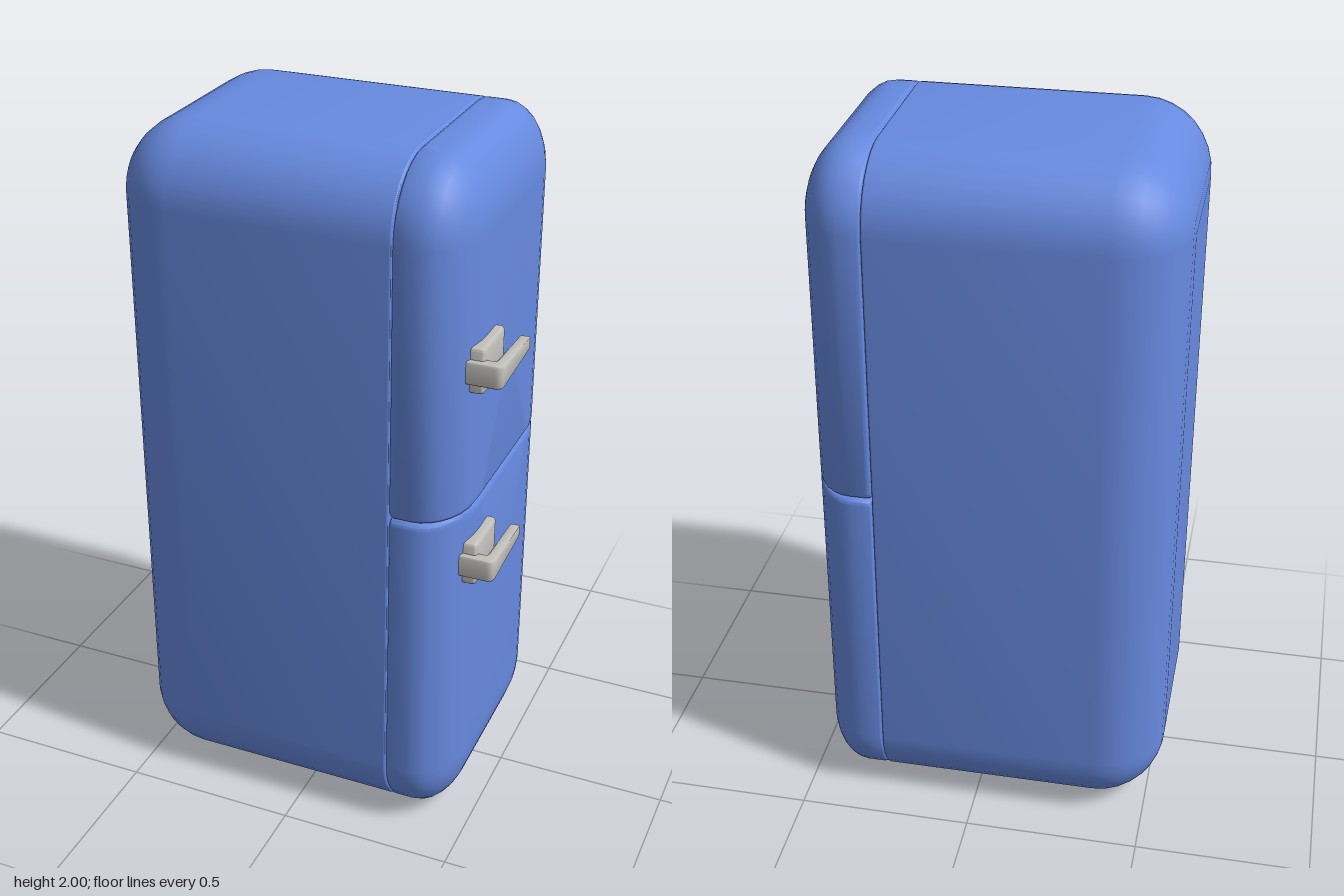
import * as THREE from 'three';
import { toCreasedNormals } from 'three/addons/utils/BufferGeometryUtils.js';

const STEPS = 8;
const CORNER = 0.2, SEAM = 0.02, HALF_DEPTH = 0.402;

// One rounded rectangle in the y-z plane, counter-clockwise seen from +x
function ring(x, y0, y1, zh, rBottom, rTop) {
  const pts = [];
  const corners = [[1, 1], [-1, 1], [-1, -1], [1, -1]];
  corners.forEach(([su, sy], q) => {
    const r = sy > 0 ? rTop : rBottom;
    const cy = sy > 0 ? y1 - r : y0 + r;
    for (let i = 0; i <= STEPS; i++) {
      const a = (q + i / STEPS) * Math.PI / 2;
      pts.push([x, cy + r * Math.sin(a), -(su * (zh - r) + r * Math.cos(a))]);
    }
  });
  return pts;
}

// Skins a list of rings ordered by x and closes both ends
function loft(rings) {
  const n = rings[0].length, last = rings.length - 1;
  const pos = rings.flat(2), index = [];
  const addCentre = (r) => {
    const ys = r.map((p) => p[1]);
    pos.push(r[0][0], (Math.min(...ys) + Math.max(...ys)) / 2, 0);
    return pos.length / 3 - 1;
  };
  const c0 = addCentre(rings[0]), c1 = addCentre(rings[last]);
  for (let j = 0; j < n; j++) {
    const k = (j + 1) % n;
    for (let i = 0; i < last; i++) {
      const a = i * n + j, b = i * n + k;
      index.push(a, b, b + n, a, b + n, a + n);
    }
    index.push(c0, k, j, c1, last * n + j, last * n + k);
  }
  const g = new THREE.BufferGeometry();
  g.setAttribute('position', new THREE.Float32BufferAttribute(pos, 3));
  g.setIndex(index);
  return toCreasedNormals(g, 0.7);
}

// Profile along x: [x, inset], rounded at both ends
function profile(x0, w0, d0, x1, w1, d1) {
  const out = [];
  for (let i = STEPS; i >= 0; i--) {
    const a = (i / STEPS) * Math.PI / 2;
    out.push([x0 + w0 * (1 - Math.sin(a)), d0 * (1 - Math.cos(a))]);
  }
  for (let i = 0; i <= STEPS; i++) {
    const a = (i / STEPS) * Math.PI / 2;
    out.push([x1 - w1 * (1 - Math.sin(a)), d1 * (1 - Math.cos(a))]);
  }
  return out;
}

const innerRadius = (d) => Math.max(CORNER - d, 0.002);

function cabinetGeometry() {
  return loft(profile(-0.543, 0.195, CORNER, 0.275, 0.006, 0.006).map(([x, d]) =>
    ring(x, d, 2 - d, HALF_DEPTH - d, innerRadius(d), innerRadius(d))));
}

// Door with big outer corners and a tight rounded edge along the seam
function doorGeometry(y0, y1, seamAtTop) {
  const front = 0.463;
  return loft(profile(0.275, 0.015, 0.012, front, 0.125, CORNER).map(([x, d]) => {
    const t = Math.max(0, (x - (front - SEAM)) / SEAM);
    const e = x < 0.3 ? d : SEAM * (1 - Math.sqrt(Math.max(0, 1 - t * t)));
    const r = innerRadius(d);
    return seamAtTop
      ? ring(x, y0 + d, y1 - e, HALF_DEPTH - d, r, SEAM)
      : ring(x, y0 + e, y1 - d, HALF_DEPTH - d, SEAM, r);
  }));
}

// Extruded plan outline (x, z) with a small bevel, centred on y = 0
function bevelled(shape, height, bevel) {
  const g = new THREE.ExtrudeGeometry(shape, {
    depth: height - 2 * bevel, bevelThickness: bevel, bevelSize: bevel,
    bevelOffset: -bevel, bevelSegments: 3, curveSegments: 5,
  });
  g.translate(0, 0, -(height - 2 * bevel) / 2);
  g.rotateX(Math.PI / 2);
  return g;
}

// L-shaped lever that gets slimmer towards its free end
function leverGeometry() {
  const s = new THREE.Shape();
  s.moveTo(0.43, 0.27);
  s.lineTo(0.502, 0.27);
  s.quadraticCurveTo(0.512, 0.27, 0.512, 0.26);
  s.lineTo(0.512, 0.075);
  s.quadraticCurveTo(0.512, 0.068, 0.519, 0.068);
  s.lineTo(0.533, 0.068);
  s.quadraticCurveTo(0.54, 0.068, 0.54, 0.075);
  s.lineTo(0.542, 0.285);
  s.quadraticCurveTo(0.542, 0.307, 0.52, 0.307);
  s.lineTo(0.43, 0.307);
  s.closePath();
  const g = bevelled(s, 0.066, 0.006);
  const p = g.attributes.position;
  for (let i = 0; i < p.count; i++) {
    const t = THREE.MathUtils.clamp((0.307 - p.getZ(i)) / 0.239, 0, 1);
    p.setY(i, p.getY(i) * (1 - 0.47 * t));
  }
  return toCreasedNormals(g, 0.7);
}

// Mounting plate behind the lever
function plateGeometry() {
  const s = new THREE.Shape();
  s.moveTo(0.42, 0.125);
  s.lineTo(0.474, 0.125);
  s.quadraticCurveTo(0.488, 0.125, 0.488, 0.139);
  s.lineTo(0.488, 0.276);
  s.quadraticCurveTo(0.488, 0.29, 0.474, 0.29);
  s.lineTo(0.42, 0.29);
  s.closePath();
  return toCreasedNormals(bevelled(s, 0.13, 0.01), 0.7);
}

export function createModel() {
  const enamel = new THREE.MeshStandardMaterial({ color: 0x678ae0 });
  enamel.name = 'blueEnamel';
  const metal = new THREE.MeshStandardMaterial({ color: 0xc2c0bb });
  metal.name = 'greyMetal';

  const model = new THREE.Group();
  model.name = 'refrigerator';
  const add = (parent, name, geometry, material) => {
    const mesh = new THREE.Mesh(geometry, material);
    mesh.name = name;
    parent.add(mesh);
    return mesh;
  };

  add(model, 'cabinet', cabinetGeometry(), enamel);
  add(model, 'upperDoor', doorGeometry(1.03, 2, false), enamel);
  add(model, 'lowerDoor', doorGeometry(0, 1.03, true), enamel);

  // One handle per door
  const lever = leverGeometry(), plate = plateGeometry();
  for (const [name, y] of [['upperHandle', 1.452], ['lowerHandle', 0.872]]) {
    const handle = new THREE.Group();
    handle.name = name;
    handle.position.y = y;
    add(handle, 'lever', lever, metal);
    add(handle, 'mountingPlate', plate, metal);
    model.add(handle);
  }
  return model;
}
